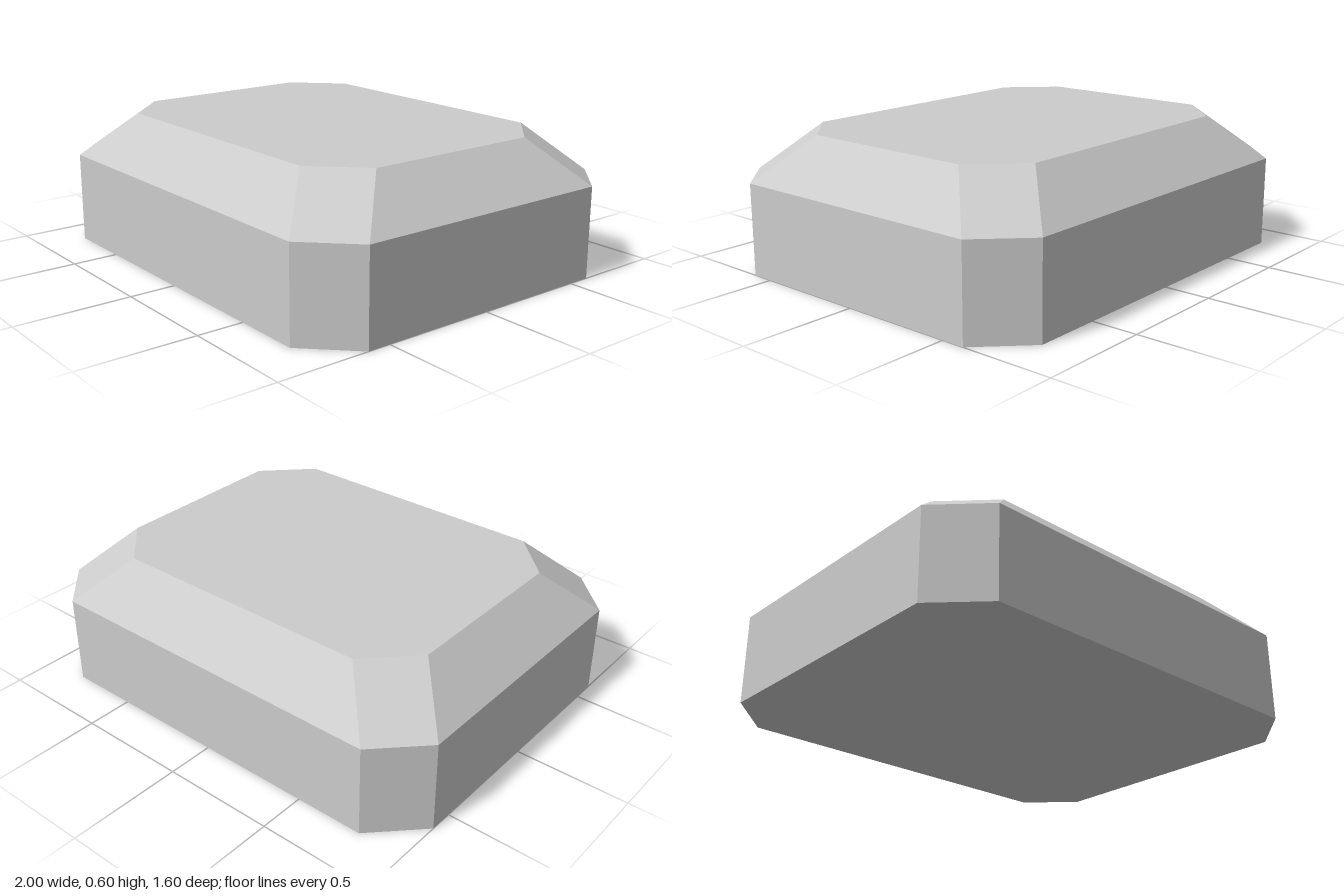
import * as THREE from 'three';
import { ConvexGeometry } from 'three/addons/geometries/ConvexGeometry.js';

// Rectangle with its corners cut off, as a ring of eight points at height y
function octagon(halfX, halfZ, cut, y) {
  const points = [];
  for (const sx of [-1, 1]) {
    for (const sz of [-1, 1]) {
      points.push(new THREE.Vector3(sx * halfX, y, sz * (halfZ - cut)));
      points.push(new THREE.Vector3(sx * (halfX - cut), y, sz * halfZ));
    }
  }
  return points;
}

export function createModel() {
  const group = new THREE.Group();
  group.name = 'chamferedBlock';

  // Straight walls up to y = 0.4, then a 45 degree bevel to the flat top
  const geometry = new ConvexGeometry([
    ...octagon(1, 0.8, 0.2, 0),
    ...octagon(1, 0.8, 0.2, 0.4),
    ...octagon(0.8, 0.6, 0.2, 0.6),
  ]);
  const material = new THREE.MeshStandardMaterial({ color: 0xcccccc, flatShading: true });
  const block = new THREE.Mesh(geometry, material);
  block.name = 'block';
  group.add(block);
  return group;
}
